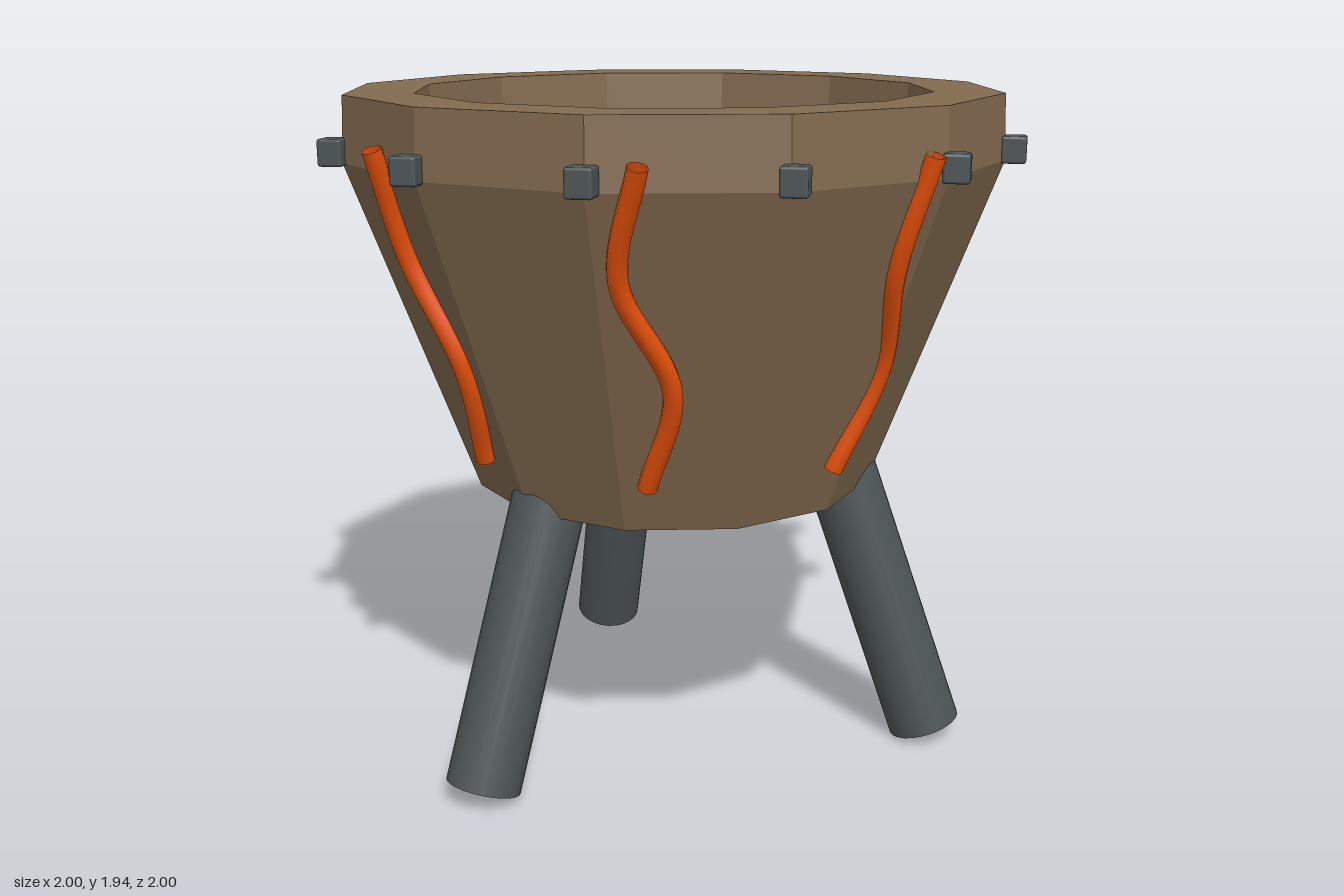
import * as THREE from 'three';
import { RoundedBoxGeometry } from 'three/addons/geometries/RoundedBoxGeometry.js';

export function createModel() {
  const model = new THREE.Group();
  model.name = 'brazier';

  const stone = new THREE.MeshStandardMaterial({ color: 0x826a4f, flatShading: true, side: THREE.DoubleSide });
  stone.name = 'brown stone';
  const iron = new THREE.MeshStandardMaterial({ color: 0x4d5557 });
  iron.name = 'dark iron';
  const ember = new THREE.MeshStandardMaterial({ color: 0xe6500a, side: THREE.DoubleSide });
  ember.name = 'ember orange';

  const add = (geometry, material, name, x = 0, y = 0, z = 0) => {
    const mesh = new THREE.Mesh(geometry, material);
    mesh.name = name;
    mesh.position.set(x, y, z);
    model.add(mesh);
    return mesh;
  };

  // Twelve-sided bowl, open underneath, with a raised inner floor
  const floorY = 1.21;
  const profile = [
    [0.59, 0.8], [0.943, 1.755], [0.935, 1.937], [0.74, 1.937], [0.675, floorY], [0, floorY],
  ].map(([r, y]) => new THREE.Vector2(r, y));
  add(new THREE.LatheGeometry(profile, 12), stone, 'bowl');

  // Rivets on the corners of the rim
  const rivet = new RoundedBoxGeometry(0.07, 0.075, 0.07, 2, 0.008);
  for (let i = 0; i < 12; i++) {
    const a = (i * Math.PI) / 6;
    add(rivet, iron, 'rivet', 0.965 * Math.sin(a), 1.785, 0.965 * Math.cos(a));
  }

  // Three splayed legs reaching just inside the bowl
  const foot = new THREE.Vector2(0.789, 0.037);
  const tilt = 0.338, length = 0.89;
  const legGeometry = new THREE.CylinderGeometry(0.107, 0.107, length, 24);
  legGeometry.translate(0, length / 2, 0);
  legGeometry.rotateZ(tilt);
  legGeometry.translate(foot.x, foot.y, 0);
  for (let i = 0; i < 3; i++) {
    add(legGeometry, iron, 'leg').rotation.y = (i * 2 * Math.PI) / 3;
  }

  // Glowing cracks that wander down the sloping wall, given as angles around it
  const heights = [1.82, 1.53, 1.23, 0.94];
  const cracks = [
    [0.136, 0.065, 0.221, 0.117],
    [-0.715, -0.747, -0.633, -0.726],
    [0.975, 0.964, 1.07, 0.971],
  ];
  for (const angles of cracks) {
    const points = angles.map((a, i) => {
      const r = 0.645 + 0.347 * (heights[i] - 0.94);
      return new THREE.Vector3(r * Math.sin(a), heights[i], r * Math.cos(a));
    });
    const path = new THREE.CatmullRomCurve3(points);
    add(new THREE.TubeGeometry(path, 40, 0.027, 10, false), ember, 'crack');
  }

  // Coals sunk into the floor
  const coal = new RoundedBoxGeometry(0.214, 0.05, 0.164, 2, 0.01);
  const spots = [
    [0.23, -0.307], [-0.1, -0.37], [-0.283, -0.262], [-0.38, 0.064],
    [0.382, -0.003], [0.323, 0.206], [0.035, 0.382],
  ];
  spots.forEach(([x, z], i) => add(coal, ember, 'coal', x, floorY + 0.01 + 0.002 * (i % 3), z));

  return model;
}
